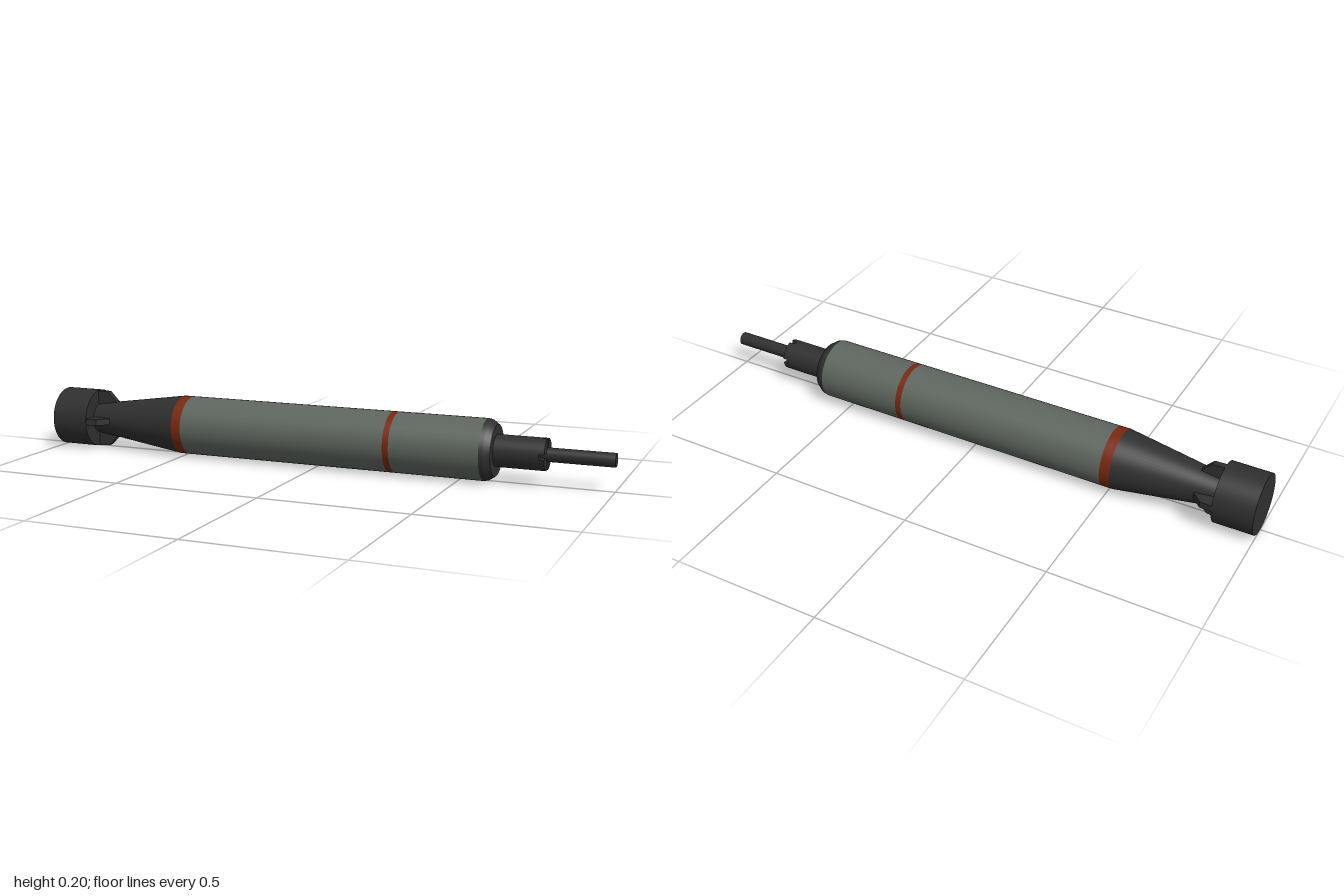
import * as THREE from 'three';

const AXIS_Y = 0.103;
const R = 0.102;

const mat = (name, color) => {
  const m = new THREE.MeshStandardMaterial({ color });
  m.name = name;
  return m;
};

export function createModel() {
  const grey = mat('hull grey', 0x5f665f);
  const dark = mat('dark metal', 0x303030);
  const red = mat('band red', 0x7a2810);

  const model = new THREE.Group();
  model.name = 'torpedo';
  const axis = new THREE.Group();
  axis.name = 'axis';
  axis.position.y = AXIS_Y;
  model.add(axis);

  // Round section along x, from x0 (radius r0) to x1 (radius r1)
  const section = (name, x0, x1, r0, r1, material, open = false) => {
    const geo = new THREE.CylinderGeometry(r1, r0, x1 - x0, 48, 1, open);
    geo.rotateZ(-Math.PI / 2);
    const mesh = new THREE.Mesh(geo, material);
    mesh.name = name;
    mesh.position.x = (x0 + x1) / 2;
    axis.add(mesh);
    return mesh;
  };

  // Hull and painted bands
  section('rearBand', -0.52, -0.485, R, R, red, true);
  section('mainHull', -0.485, 0.26, R, R, grey, true);
  section('frontBand', 0.26, 0.281, R, R, red, true);
  section('frontHull', 0.281, 0.583, R, R, grey, true);

  // Bevelled nose
  section('noseRim', 0.583, 0.597, R, 0.099, dark, true);
  section('noseBevel', 0.597, 0.617, 0.099, 0.085, dark);

  // Collar with a slotted end, and the probe rod
  section('collar', 0.61, 0.765, 0.053, 0.053, dark);
  section('rod', 0.76, 1, 0.023, 0.023, dark);
  const outer = 0.053, inner = 0.023, half = 0.008;
  const a0 = Math.asin(half / outer), b0 = Math.asin(half / inner);
  const quadrant = new THREE.Shape();
  quadrant.absarc(0, 0, outer, a0, Math.PI / 2 - a0, false);
  quadrant.absarc(0, 0, inner, Math.PI / 2 - b0, b0, true);
  const jawGeo = new THREE.ExtrudeGeometry(quadrant, { depth: 0.02, bevelEnabled: false, curveSegments: 12 });
  jawGeo.rotateY(Math.PI / 2);
  for (let i = 0; i < 4; i++) {
    const jaw = new THREE.Mesh(jawGeo, dark);
    jaw.name = 'collarJaw';
    jaw.position.x = 0.763;
    jaw.rotation.x = i * Math.PI / 2;
    axis.add(jaw);
  }

  // Tapered tail and drive shroud
  section('tailCone', -0.88, -0.52, 0.05, R, dark);
  section('tailShroud', -1, -0.865, R, R, dark);

  // Four fins joining the cone to the shroud
  const fin = new THREE.Shape();
  fin.moveTo(-0.87, 0.03);
  fin.lineTo(-0.87, 0.1);
  fin.lineTo(-0.825, 0.098);
  fin.lineTo(-0.79, 0.062);
  fin.lineTo(-0.79, 0.03);
  const finGeo = new THREE.ExtrudeGeometry(fin, { depth: 0.022, bevelEnabled: false });
  finGeo.translate(0, 0, -0.011);
  for (let i = 0; i < 4; i++) {
    const mesh = new THREE.Mesh(finGeo, dark);
    mesh.name = 'tailFin';
    mesh.rotation.x = i * Math.PI / 2;
    axis.add(mesh);
  }

  return model;
}
